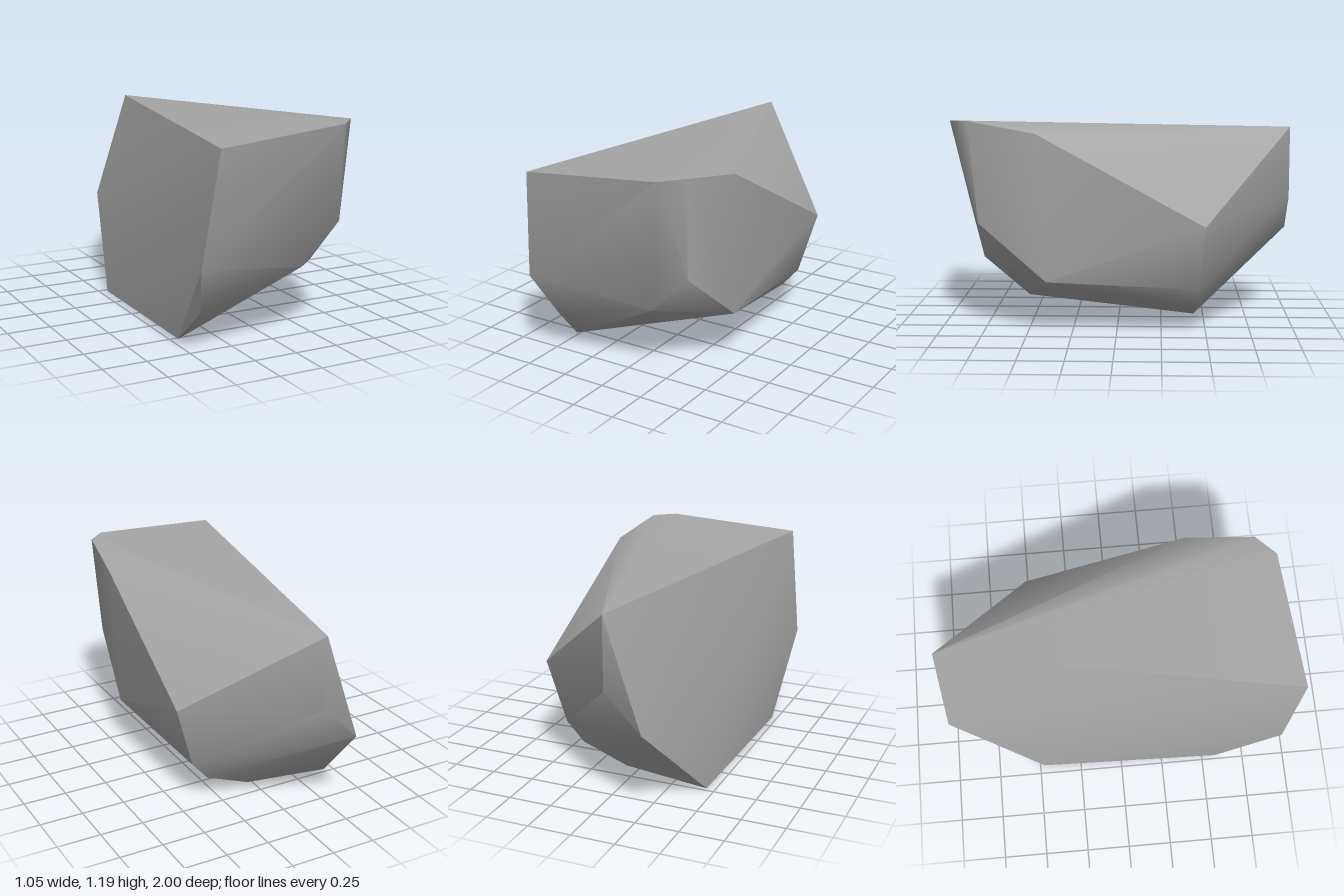
import * as THREE from 'three';
import { toCreasedNormals } from 'three/addons/utils/BufferGeometryUtils.js';
import { ConvexGeometry } from 'three/addons/geometries/ConvexGeometry.js';

export function createModel() {
  const group = new THREE.Group();
  group.name = 'rock';
  const stone = new THREE.MeshStandardMaterial({ color: 0xa6a6a6 });
  stone.name = 'grey stone';

  // Corners of the chipped boulder
  const corners = [
    // top rim
    [-0.45, 1.13, 1], [0.32, 1.185, 0.93], [0.43, 1.19, 0.82], [0.49, 1.125, 0.44], [-0.08, 1.125, -1],
    // front face and its lower bevel
    [-0.525, 0.5, 0.93], [-0.45, 0.22, 0.77], [0.17, 0.39, 0.77], [0.405, 0.62, 0.77],
    // side face
    [0.465, 0.3, 0.39], [0.525, 0.62, -0.49], [0.42, 0.255, -0.46], [0.32, 0.14, -0.45],
    // back tip
    [-0.08, 0.71, -1], [-0.29, 0.5, -1],
    // underside
    [0.055, 0.033, -0.44], [-0.45, 0, -0.475], [-0.485, 0.025, 0.58],
  ].map((p) => new THREE.Vector3(...p));

  // Soft shading over shallow bevels, sharp edges between the main faces
  const geometry = toCreasedNormals(new ConvexGeometry(corners), 0.68);
  const boulder = new THREE.Mesh(geometry, stone);
  boulder.name = 'boulder';
  group.add(boulder);
  return group;
}
